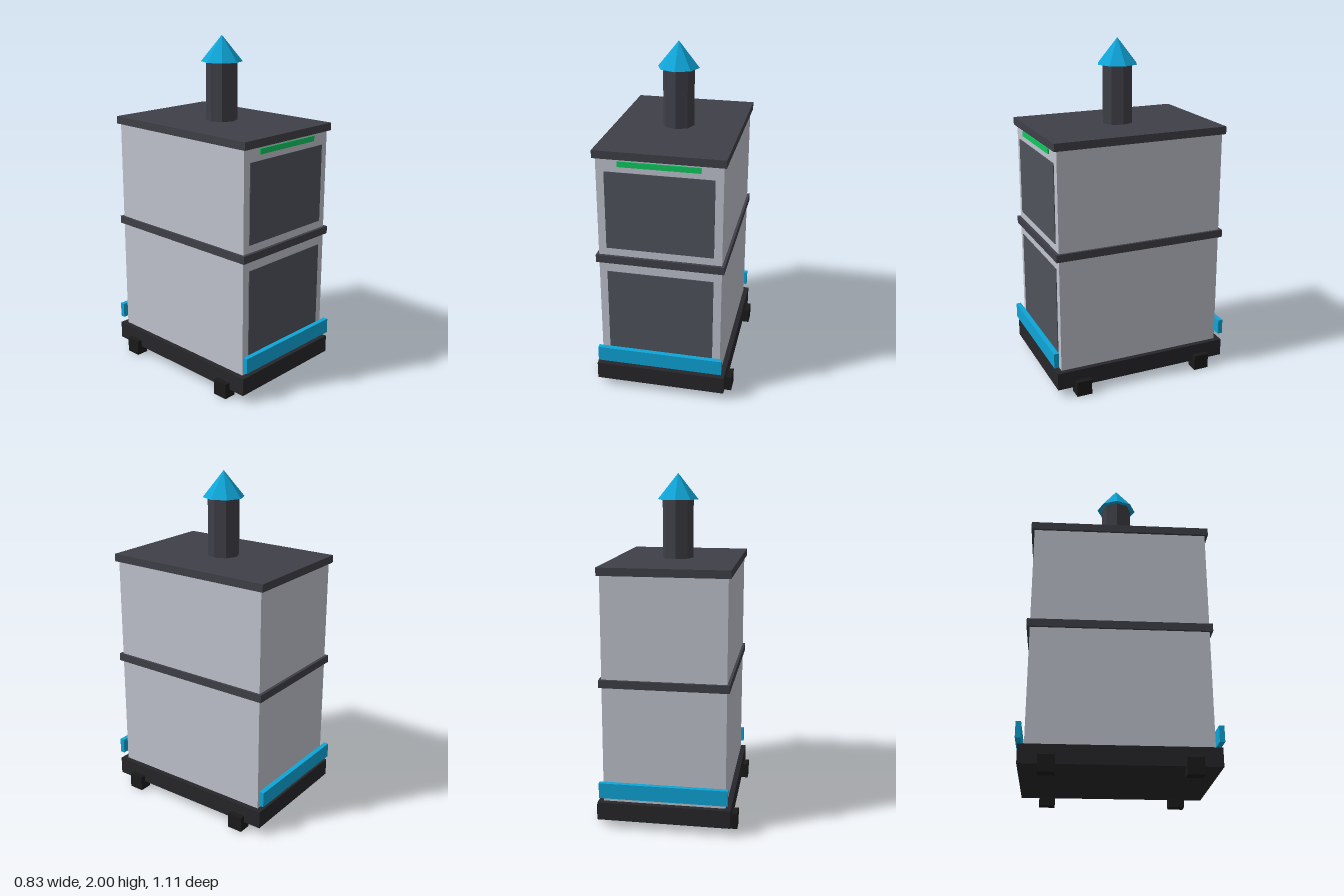
import * as THREE from 'three';

export function createModel() {
  const model = new THREE.Group();
  const paint = (color) => new THREE.MeshStandardMaterial({ color, flatShading: true });
  const shell = paint(0xc0c4ce), trim = paint(0x3f4048), chassisDark = paint(0x27272b);
  const black = paint(0x1a1a1a), glass = paint(0x4f535b), blue = paint(0x0ea5d8), green = paint(0x10c860);

  function add(name, geometry, material, x, y, z) {
    const mesh = new THREE.Mesh(geometry, material);
    mesh.name = name;
    mesh.position.set(x, y, z);
    model.add(mesh);
    return mesh;
  }

  // box centred on x, spanning y0 to y1
  const box = (name, material, width, y0, y1, depth, z = 0, x = 0) =>
    add(name, new THREE.BoxGeometry(width, y1 - y0, depth), material, x, (y0 + y1) / 2, z);

  // chassis and the two decks
  box('chassis', chassisDark, 0.766, 0.05, 0.155, 1.076);
  box('lowerDeck', shell, 0.706, 0.155, 0.835, 1.01);
  box('deckBand', trim, 0.736, 0.835, 0.88, 1.046);
  box('upperDeck', shell, 0.706, 0.88, 1.465, 1.01);
  box('roof', trim, 0.736, 1.465, 1.51, 1.046);

  // windscreens and destination strip on the front
  box('lowerWindscreen', glass, 0.614, 0.24, 0.775, 0.01, 0.504);
  box('upperWindscreen', glass, 0.614, 0.925, 1.387, 0.01, 0.504);
  box('destinationStrip', green, 0.46, 1.42, 1.452, 0.012, 0.505);

  // bumpers at both ends, wheel blocks at the corners
  for (const end of [1, -1]) {
    box(end > 0 ? 'frontBumper' : 'rearBumper', blue, 0.738, 0.19, 0.28, 0.029, end * 0.539);
    for (const side of [1, -1]) {
      box((end > 0 ? 'front' : 'rear') + (side > 0 ? 'Left' : 'Right') + 'Wheel',
        black, 0.076, 0, 0.092, 0.092, end * 0.386, side * 0.377);
    }
  }

  // chimney with its pointed cap
  add('chimney', new THREE.CylinderGeometry(0.092, 0.092, 0.34, 8), trim, 0, 1.68, 0);
  add('chimneyCap', new THREE.ConeGeometry(0.121, 0.15, 8), blue, 0, 1.925, 0);

  return model;
}
